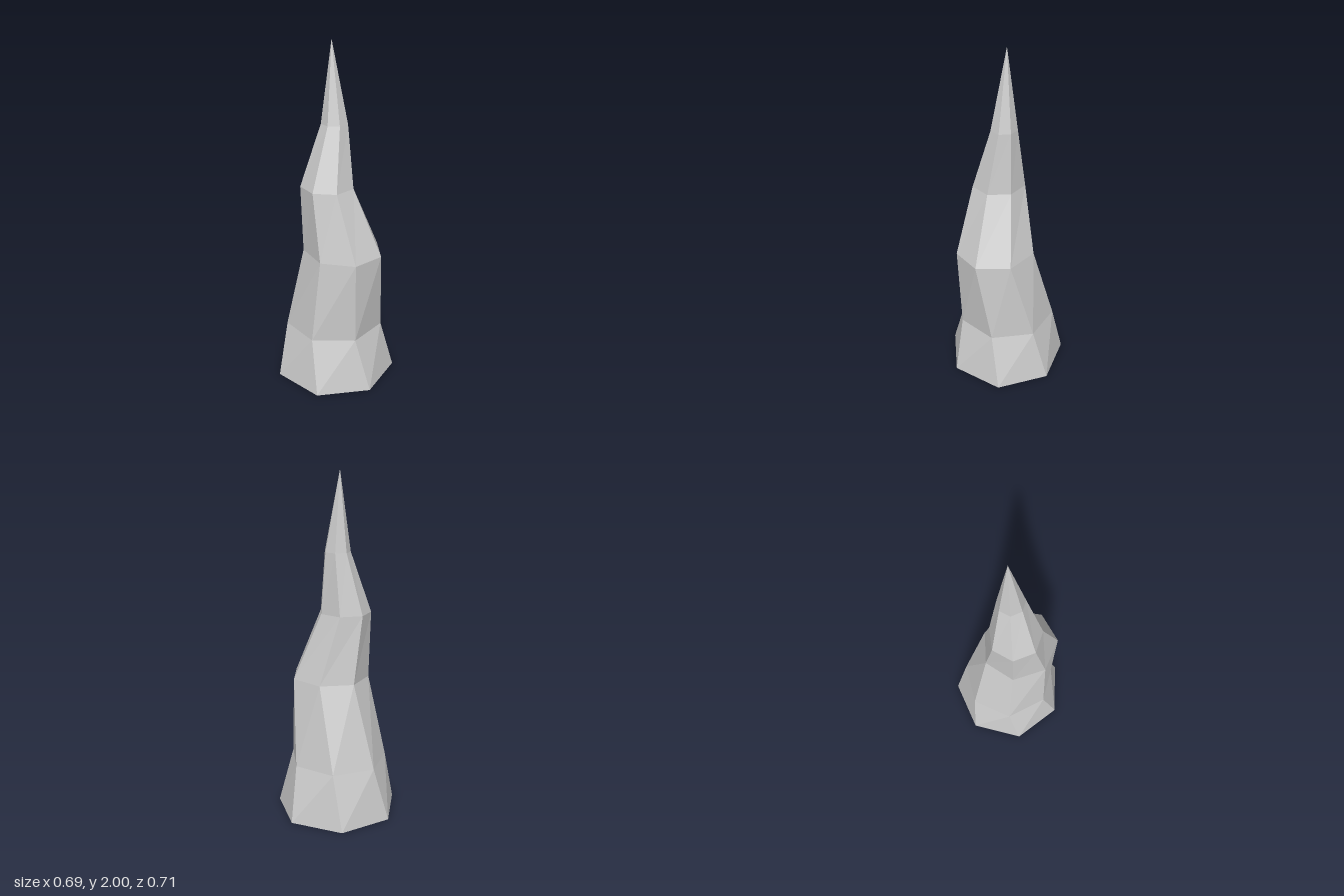
import * as THREE from 'three';

const SIDES = 7;

// Cross-sections from the ground up: height, centre, radii and twist in degrees
const RINGS = [
  { y: 0, x: -0.018, z: 0, rx: 0.363, rz: 0.363, twist: 0 },
  { y: 0.32, x: -0.018, z: -0.004, rx: 0.288, rz: 0.29, twist: 10 },
  { y: 0.81, x: -0.025, z: 0.075, rx: 0.222, rz: 0.237, twist: 20 },
  { y: 1.2, x: -0.075, z: -0.001, rx: 0.15, rz: 0.155, twist: 16 },
  { y: 1.55, x: -0.023, z: 0.007, rx: 0.075, rz: 0.077, twist: 14 },
];
const TIP = [-0.022, 2, -0.015];

function ringPoint(ring, i) {
  const a = THREE.MathUtils.degToRad(ring.twist) + (i % SIDES) * Math.PI * 2 / SIDES;
  return [ring.x + ring.rx * Math.cos(a), ring.y, ring.z + ring.rz * Math.sin(a)];
}

function spikeGeometry() {
  const positions = [];
  const tri = (...corners) => corners.forEach((p) => positions.push(...p));
  const base = RINGS[0];
  const top = RINGS[RINGS.length - 1];

  for (let i = 0; i < SIDES; i++) {
    // Flat underside
    tri([base.x, base.y, base.z], ringPoint(base, i), ringPoint(base, i + 1));
    // Facets between neighbouring rings
    for (let r = 0; r < RINGS.length - 1; r++) {
      const low = RINGS[r];
      const high = RINGS[r + 1];
      tri(ringPoint(low, i + 1), ringPoint(low, i), ringPoint(high, i));
      tri(ringPoint(low, i + 1), ringPoint(high, i), ringPoint(high, i + 1));
    }
    // Pointed end
    tri(ringPoint(top, i + 1), ringPoint(top, i), TIP);
  }

  const geometry = new THREE.BufferGeometry();
  geometry.setAttribute('position', new THREE.Float32BufferAttribute(positions, 3));
  geometry.computeVertexNormals();
  return geometry;
}

export function createModel() {
  const group = new THREE.Group();
  group.name = 'stalagmite';
  const material = new THREE.MeshStandardMaterial({ color: 0xcccccc, flatShading: true });
  const spike = new THREE.Mesh(spikeGeometry(), material);
  spike.name = 'rockSpike';
  group.add(spike);
  return group;
}
